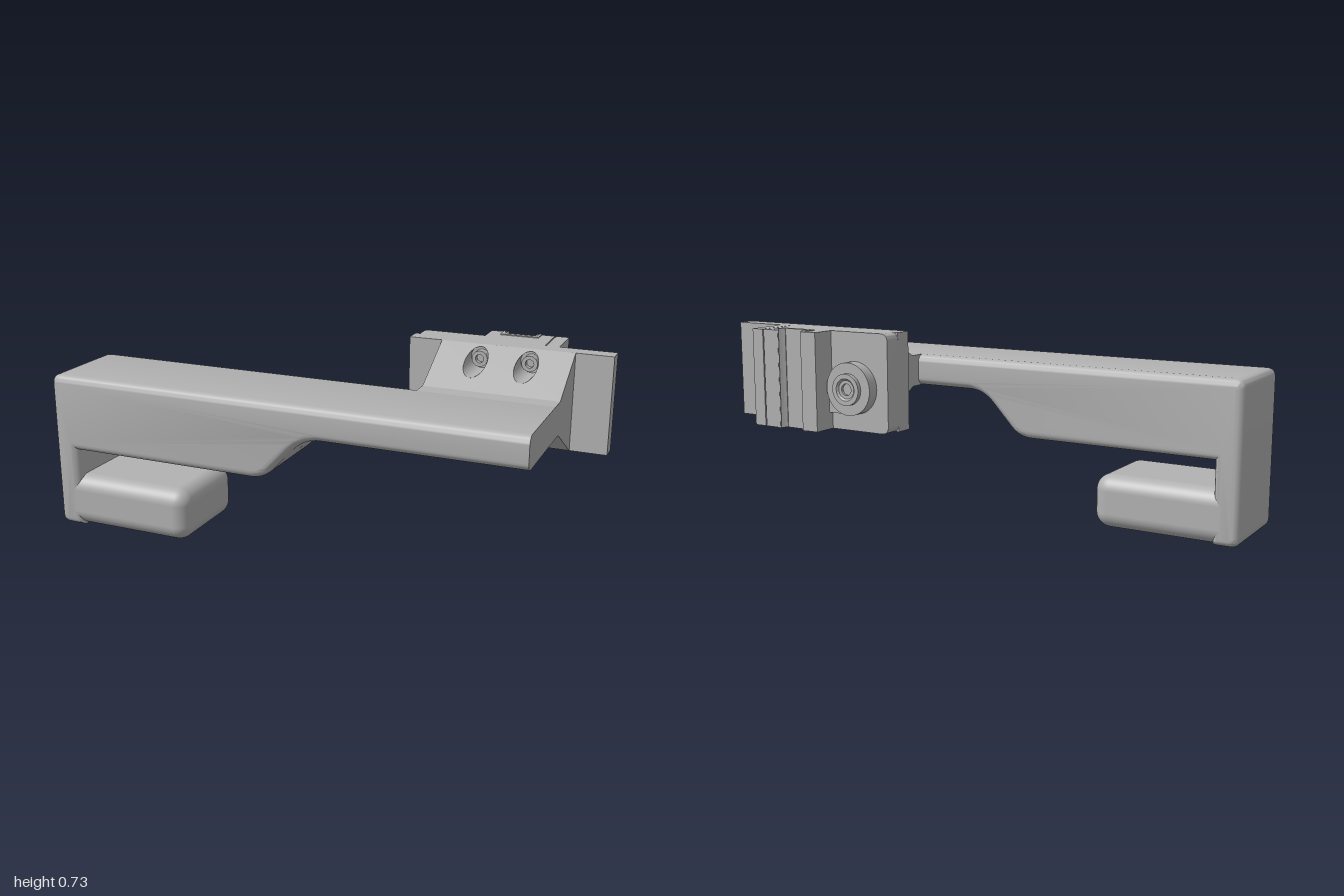
import * as THREE from 'three';
import { toCreasedNormals } from 'three/addons/utils/BufferGeometryUtils.js';
import { RoundedBoxGeometry } from 'three/addons/geometries/RoundedBoxGeometry.js';

const MID = 0.5425; // height of the bracket's centre line
const HALF = 0.1875; // half height of the mounting plate
const SLOPE = 0.125 / 0.215;

export function createModel() {
  const group = new THREE.Group();
  const grey = new THREE.MeshStandardMaterial({ color: 0xb2b2b2, side: THREE.DoubleSide });
  grey.name = 'plain grey';

  const add = (name, geometry, x = 0, y = 0, z = 0) => {
    const mesh = new THREE.Mesh(geometry, grey);
    mesh.name = name;
    mesh.position.set(x, y, z);
    group.add(mesh);
    return mesh;
  };
  const box = (name, x0, x1, y0, y1, z0, z1) =>
    add(name, new THREE.BoxGeometry(x1 - x0, y1 - y0, z1 - z0), (x0 + x1) / 2, (y0 + y1) / 2, (z0 + z1) / 2);
  const polygon = (pts) => new THREE.Shape(pts.map(([x, y]) => new THREE.Vector2(x, y)));
  const circleHole = (x, y, r) => {
    const path = new THREE.Path();
    path.absarc(x, y, r, 0, Math.PI * 2, true);
    return path;
  };
  // Plan outline (x, z) extruded upwards between two heights
  const upright = (name, pts, y0, y1) => {
    const geo = new THREE.ExtrudeGeometry(polygon(pts.map(([x, z]) => [x, -z])), { depth: y1 - y0, bevelEnabled: false });
    return add(name, geo.rotateX(-Math.PI / 2), 0, y0, 0);
  };
  // Turned part whose axis points along z (dir = 1 front, -1 back)
  const turned = (name, pts, x, y, z, dir) => {
    const geo = new THREE.LatheGeometry(pts.map(([r, h]) => new THREE.Vector2(r, h)), 36);
    geo.rotateX(dir * Math.PI / 2);
    return add(name, toCreasedNormals(geo, 0.6), x, y, z);
  };

  // Hooked arm with rounded edges and a flat cut right end
  const arm = new THREE.Shape();
  const r = 0.036;
  arm.moveTo(-1 + r, 0);
  arm.lineTo(-0.9, 0);
  arm.lineTo(-0.9, 0.31);
  arm.lineTo(-0.16, 0.31);
  arm.quadraticCurveTo(-0.11, 0.31, -0.075, 0.345);
  arm.lineTo(0.01, 0.435);
  arm.quadraticCurveTo(0.055, 0.482, 0.12, 0.482);
  arm.lineTo(0.92, 0.482);
  arm.lineTo(0.92, 0.605);
  arm.lineTo(-1 + r, 0.605);
  arm.quadraticCurveTo(-1, 0.605, -1, 0.605 - r);
  arm.lineTo(-1, r);
  arm.quadraticCurveTo(-1, 0, -1 + r, 0);
  const bevel = 0.03;
  const armGeo = new THREE.ExtrudeGeometry(arm, {
    depth: 0.38 - 2 * bevel, bevelThickness: bevel, bevelSize: bevel, bevelOffset: -bevel, bevelSegments: 6, curveSegments: 8,
  });
  const armPos = armGeo.attributes.position;
  for (let i = 0; i < armPos.count; i++) armPos.setX(i, Math.min(armPos.getX(i), 0.86));
  add('hookedArm', toCreasedNormals(armGeo, 0.6), 0, 0, 0.05 + bevel);

  // Rounded foot below the arm
  add('foot', new RoundedBoxGeometry(0.56, 0.205, 0.38, 6, 0.06), -0.71, 0.1025, 0.24);

  // Flared bracket: core, sloped faces with bolt holes, flat cheeks
  box('bracketCore', 0.35, 0.86, 0.481, 0.605, -0.205, 0.12);
  const slopeZ = (y) => 0.01 - (Math.abs(y - MID) - 0.0625) / SLOPE;
  for (const side of [1, -1]) {
    const holeY = MID + side * 0.138;
    const yA = MID + side * 0.0625;
    const yB = MID + side * HALF;
    const face = polygon([[0.35, yA], [0.86, yA], [0.86, yB], [0.35, yB]]);
    for (const x of [0.51, 0.7]) face.holes.push(circleHole(x, holeY, 0.042));
    const faceGeo = new THREE.ShapeGeometry(face, 24);
    const p = faceGeo.attributes.position;
    for (let i = 0; i < p.count; i++) p.setZ(i, slopeZ(p.getY(i)));
    faceGeo.computeVertexNormals();
    add('bracketSlope', faceGeo);

    for (const x of [0.51, 0.7]) {
      // Hole wall trimmed to the slope
      const wall = new THREE.CylinderGeometry(0.042, 0.042, 0.1, 32, 1, true).rotateX(Math.PI / 2);
      const w = wall.attributes.position;
      for (let i = 0; i < w.count; i++) w.setZ(i, w.getZ(i) > 0 ? slopeZ(holeY + w.getY(i)) : -0.205);
      add('boltHole', wall, x, holeY, 0);
      turned('bolt', [[0, 0.012], [0.016, 0.012], [0.016, 0.035], [0.03, 0.035], [0.03, 0]], x, holeY, -0.205, 1);
    }
  }
  for (const x of [0.35, 0.86]) {
    // Cheek outline in (-z, y), turned to face sideways
    const cheek = polygon([[-0.01, 0.48], [0.205, MID - HALF], [0.205, MID + HALF], [-0.01, 0.605]]);
    const geo = new THREE.ShapeGeometry(cheek).rotateY(Math.PI / 2);
    if (x < 0.5) {
      geo.setIndex([...geo.index.array].reverse());
      geo.computeVertexNormals();
    }
    add('bracketCheek', geo, x, 0, 0);
  }

  // Mounting plate and raised pad
  const y0 = MID - HALF, y1 = MID + HALF;
  box('mountingPlate', 0.22, 1.0, y0, y1, -0.272, -0.205);
  const pad = new THREE.Shape();
  pad.moveTo(0.25, y0);
  pad.lineTo(0.73, y0);
  pad.lineTo(0.73, y1);
  pad.lineTo(0.25, y1);
  pad.quadraticCurveTo(0.22, y1, 0.22, y1 - 0.03);
  pad.lineTo(0.22, y0 + 0.03);
  pad.quadraticCurveTo(0.22, y0, 0.25, y0);
  add('raisedPad', toCreasedNormals(new THREE.ExtrudeGeometry(pad, { depth: 0.07, bevelEnabled: false }), 0.6), 0, 0, -0.34);

  // Fixed jaw and the grooved clamp rail
  box('fixedJaw', 0.735, 0.785, y0, y1, -0.435, -0.272);
  upright('clampRail', [
    [0.48, -0.335], [0.48, -0.435], [0.55, -0.435], [0.535, -0.415], [0.555, -0.397], [0.555, -0.39],
    [0.655, -0.39], [0.655, -0.397], [0.675, -0.415], [0.66, -0.435], [0.73, -0.435], [0.73, -0.335],
  ], y0, y1);
  upright('railInsert', [
    [0.53, -0.375], [0.53, -0.43], [0.55, -0.43], [0.537, -0.415], [0.555, -0.395],
    [0.655, -0.395], [0.673, -0.415], [0.66, -0.43], [0.68, -0.43], [0.68, -0.375],
  ], y0 - 0.004, y1 + 0.004);

  // Clamp knob with its recessed screw
  box('clampArm', 0.37, 0.48, 0.42, 0.52, -0.36, -0.335);
  turned('clampKnob', [[0.06, 0.045], [0.1, 0.045], [0.1, 0]], 0.37, 0.52, -0.34, -1);
  turned('knobScrew', [[0, 0.045], [0.022, 0.045], [0.022, 0.055], [0.035, 0.055], [0.042, 0.062], [0.06, 0.062], [0.06, 0.04]], 0.37, 0.52, -0.34, -1);

  return group;
}
